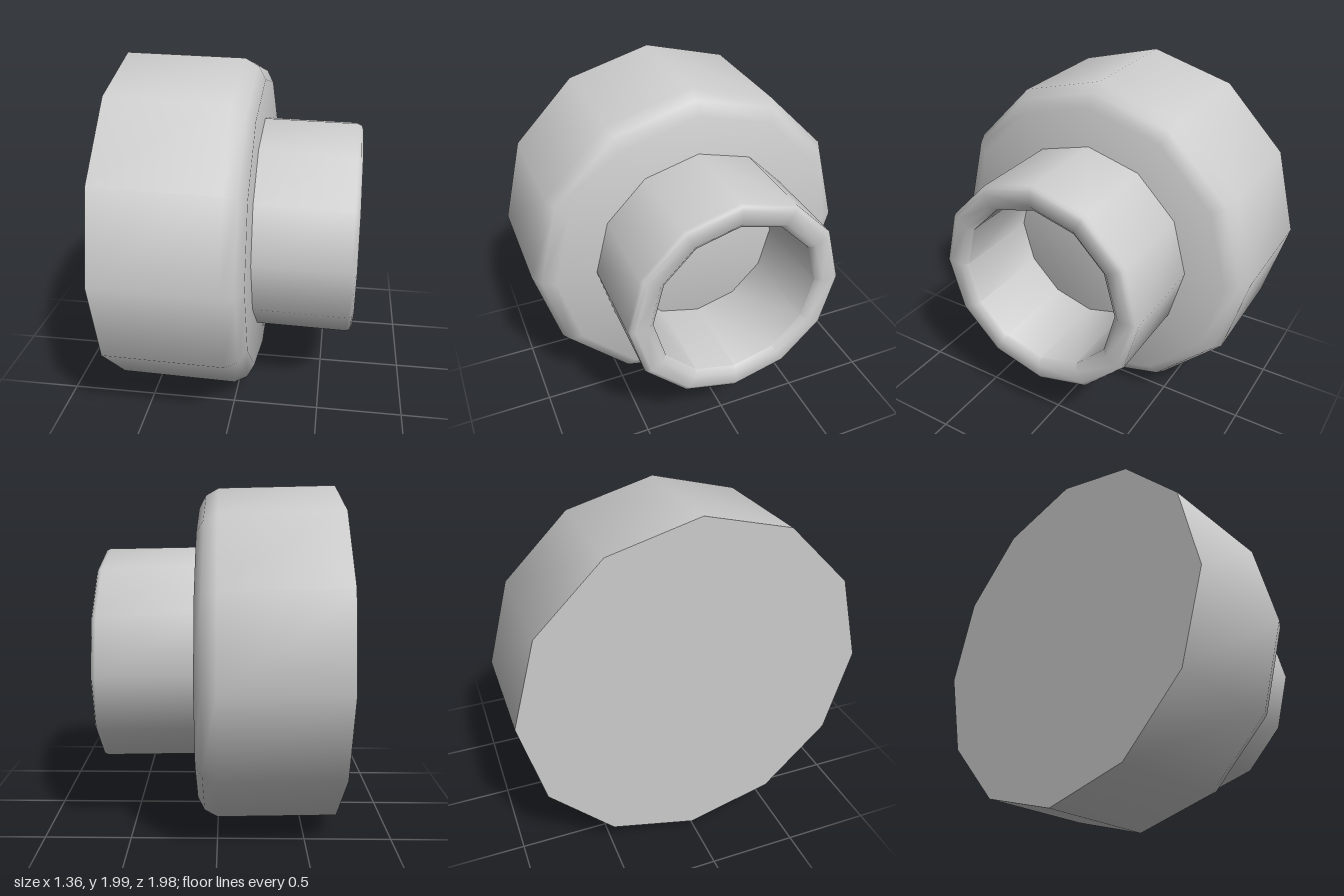
import * as THREE from 'three';
import { toCreasedNormals } from 'three/addons/utils/BufferGeometryUtils.js';

const SIDES = 12;

// Twelve-sided turned part along x; profile is [x, radius] pairs.
// The axis sinks slightly from centre height y0 at x0, by `slope` per unit.
function turnedPart(name, profile, x0, y0, slope, material) {
  const points = profile.map(([x, r]) => new THREE.Vector2(r, x));
  const geometry = new THREE.LatheGeometry(points, SIDES);
  geometry.rotateZ(-Math.PI / 2);
  const pos = geometry.attributes.position;
  for (let i = 0; i < pos.count; i++) {
    pos.setY(i, pos.getY(i) + y0 - slope * (pos.getX(i) - x0));
  }
  const mesh = new THREE.Mesh(toCreasedNormals(geometry, 0.85), material);
  mesh.name = name;
  return mesh;
}

export function createModel() {
  const group = new THREE.Group();
  group.name = 'knob';
  const grey = new THREE.MeshStandardMaterial({ color: 0xcccccc });

  // Wide solid drum with a rounded front rim
  group.add(turnedPart('drum', [
    [-0.68, 0], [-0.68, 0.99], [0, 0.99], [0.075, 0.95], [0.115, 0.875], [0.115, 0],
  ], -0.68, 1.01, 0.022, grey));

  // Hollow collar with bevelled lip, open down to the drum face
  group.add(turnedPart('collar', [
    [0.11, 0.635], [0.65, 0.635], [0.67, 0.625], [0.68, 0.6],
    [0.68, 0.525], [0.65, 0.49], [0.11, 0.49],
  ], 0.115, 1.006, 0.02, grey));

  return group;
}
